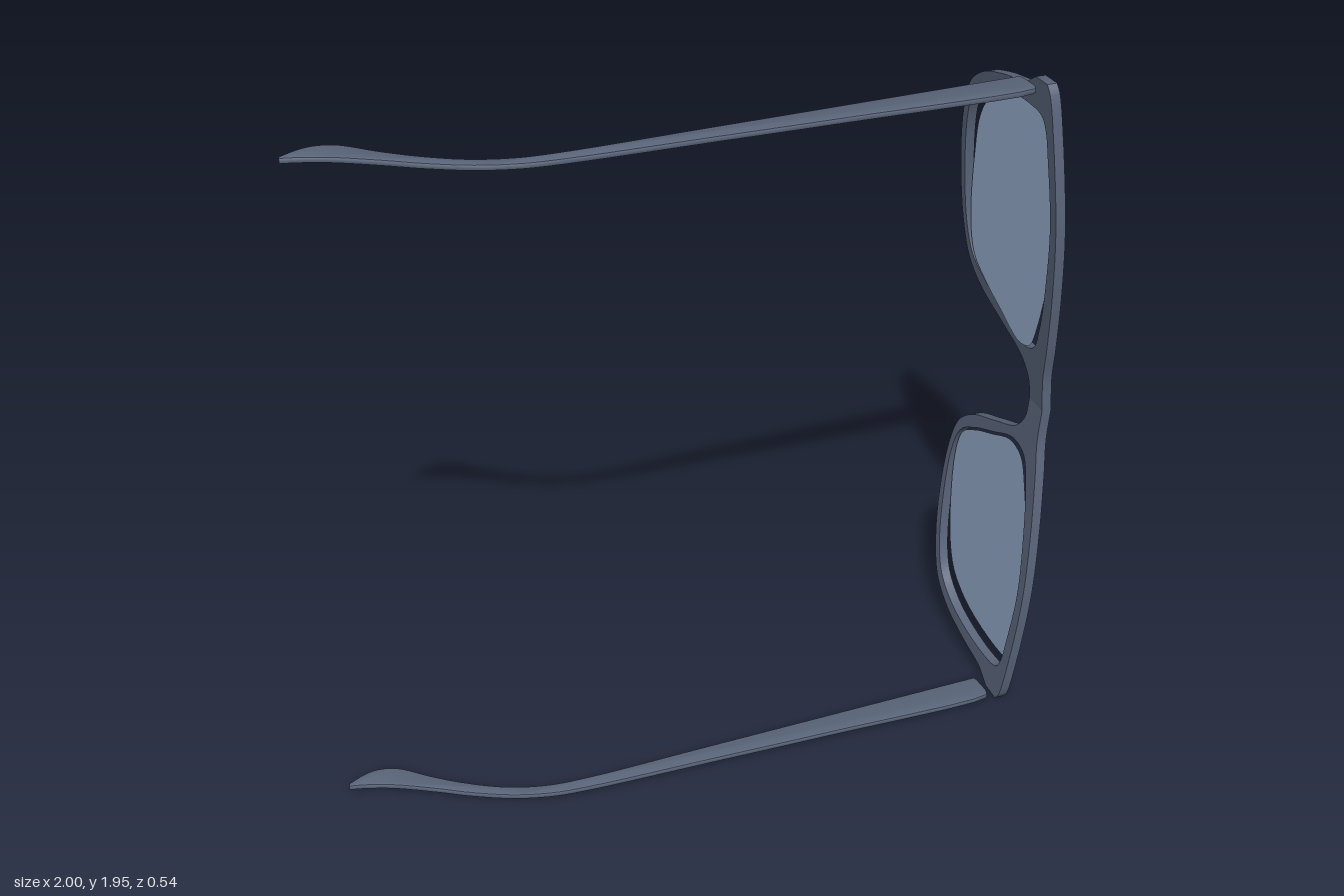
import * as THREE from 'three';
import { toCreasedNormals } from 'three/addons/utils/BufferGeometryUtils.js';

const MID = 0.977; // height of the bridge, where the front is folded
const frameMat = new THREE.MeshStandardMaterial({ color: 0x5b667b });
frameMat.name = 'slate frame';
const lensMat = new THREE.MeshStandardMaterial({ color: 0x96abcb, side: THREE.DoubleSide });
lensMat.name = 'blue lens';

// Outer edge of half of the front, as [z, height above the bridge centre]
const bottomEdge = [[0.137, 0], [0.132, 0.06], [0.09, 0.113], [-0.02, 0.16], [-0.15, 0.213], [-0.22, 0.273],
  [-0.257, 0.385], [-0.267, 0.58], [-0.247, 0.72], [-0.21, 0.813], [-0.135, 0.873], [-0.02, 0.913],
  [0.1, 0.94], [0.13, 0.958], [0.155, 0.975]];
const topEdge = [[0.215, 0.977], [0.23, 0.955], [0.25, 0.845], [0.27, 0.59], [0.257, 0.385], [0.23, 0.2],
  [0.211, 0.1], [0.21, 0]];
// Lens opening
const opening = [[0.19, 0.878], [0.12, 0.888], [-0.02, 0.873], [-0.115, 0.843], [-0.185, 0.793], [-0.22, 0.723],
  [-0.241, 0.583], [-0.235, 0.385], [-0.2, 0.293], [-0.125, 0.243], [-0.02, 0.197], [0.09, 0.155],
  [0.155, 0.173], [0.19, 0.253], [0.225, 0.435], [0.239, 0.593], [0.222, 0.775], [0.211, 0.843]];

// Smooth curve through [a, b] points
function smooth(points, closed, divisions) {
  const curve = new THREE.CatmullRomCurve3(points.map(([a, b]) => new THREE.Vector3(a, b, 0)), closed);
  const out = curve.getPoints(divisions).map((p) => new THREE.Vector2(p.x, p.y));
  if (closed) out.pop();
  return out;
}

// Side points become drawing points; side is 1 for the upper half, -1 for the lower
const place = (points, side) => points.map(([z, h]) => [-z, MID + side * h]);

function frontHalf(side) {
  const shape = new THREE.Shape([
    ...smooth(place(bottomEdge, side), false, 84),
    ...smooth(place(topEdge, side), false, 48),
  ]);
  shape.holes.push(new THREE.Path(smooth(place(opening, side), true, 108)));
  const geo = new THREE.ExtrudeGeometry(shape, { depth: 0.028, bevelEnabled: false });
  geo.rotateY(Math.PI / 2);
  // Sweep the half back from the bridge
  const pos = geo.attributes.position;
  for (let i = 0; i < pos.count; i++) {
    const h = pos.getY(i) - MID;
    pos.setX(i, pos.getX(i) + 0.971 - 0.076 * Math.abs(h) - 0.006 * h);
  }
  return new THREE.Mesh(toCreasedNormals(geo, 0.6), frameMat);
}

function lens(side) {
  // A slightly smaller flat pane; the upper one has a cut corner
  const outline = opening
    .filter((p, i) => side < 0 || i !== 4)
    .map(([z, h]) => [z * 0.965, 0.522 + (h - 0.522) * 0.98]);
  const geo = new THREE.ShapeGeometry(new THREE.Shape(smooth(place(outline, side), true, 96)));
  geo.rotateY(Math.PI / 2);
  geo.translate(0.951 - side * 0.003, 0, 0);
  return new THREE.Mesh(geo, lensMat);
}

// Temple edges as [x, z], from the hooked tip to the hinge
const templeTop = [[-0.995, -0.075], [-0.94, -0.1], [-0.9, -0.105], [-0.85, -0.09], [-0.77, -0.022], [-0.69, 0.038],
  [-0.58, 0.1], [-0.475, 0.131], [-0.37, 0.14], [0, 0.137], [0.86, 0.128]];
const templeBottom = [[0.865, 0.14], [0.865, 0.205], [0.855, 0.215], [0.35, 0.205], [0, 0.193], [-0.37, 0.18],
  [-0.475, 0.168], [-0.58, 0.137], [-0.69, 0.083], [-0.77, 0.035], [-0.88, -0.025], [-0.957, -0.054],
  [-0.997, -0.064]];

function temple(side) {
  const toDraw = ([x, z]) => [x, -z];
  const shape = new THREE.Shape([
    ...smooth(templeTop.map(toDraw), false, 60),
    ...smooth(templeBottom.map(toDraw), false, 72),
  ]);
  const geo = new THREE.ExtrudeGeometry(shape, {
    depth: 0.008, bevelThickness: 0.004, bevelSize: 0.004, bevelOffset: -0.004, bevelSegments: 2,
  });
  geo.rotateX(-Math.PI / 2);
  geo.translate(side < 0 ? 0.015 : 0, MID + side * 0.964 - 0.004, 0);
  return new THREE.Mesh(toCreasedNormals(geo, 0.6), frameMat);
}

export function createModel() {
  const group = new THREE.Group();
  group.name = 'glasses';
  for (const side of [1, -1]) {
    const label = side > 0 ? 'upper' : 'lower';
    const parts = { FrontFrame: frontHalf(side), Lens: lens(side), Temple: temple(side) };
    for (const [name, mesh] of Object.entries(parts)) {
      mesh.name = label + name;
      group.add(mesh);
    }
  }
  return group;
}
